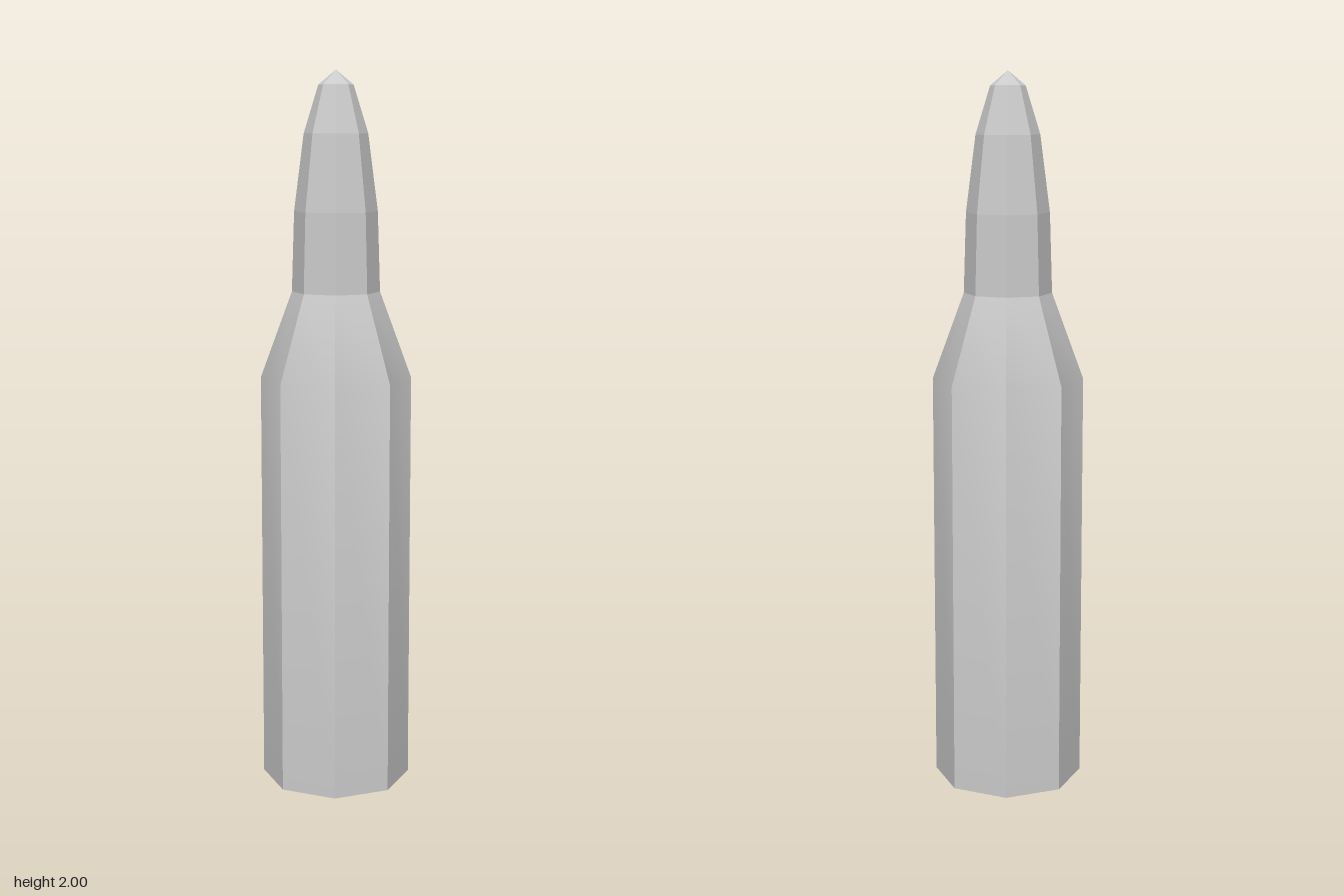
import * as THREE from 'three';
import { toCreasedNormals } from 'three/addons/utils/BufferGeometryUtils.js';

const SIDES = 8;

// Eight-sided turned part from [radius, height] pairs, bottom to top
function turned(name, profile, crease) {
  const points = profile.map(([r, y]) => new THREE.Vector2(r, y));
  const geometry = toCreasedNormals(new THREE.LatheGeometry(points, SIDES), crease);
  const mesh = new THREE.Mesh(geometry, new THREE.MeshStandardMaterial({ color: 0xcccccc }));
  mesh.name = name;
  return mesh;
}

export function createModel() {
  const group = new THREE.Group();
  group.name = 'cartridge';

  // Closed base, straight wall and softly blended shoulder
  group.add(turned('casing', [[0, 0], [0.21, 0], [0.21, 1.16], [0.122, 1.4]], 0.5));

  // Faceted ogive with a blunt point
  group.add(turned('bullet', [[0.122, 1.4], [0.115, 1.62], [0.088, 1.83], [0.048, 1.96], [0, 2]], 0.01));

  return group;
}
